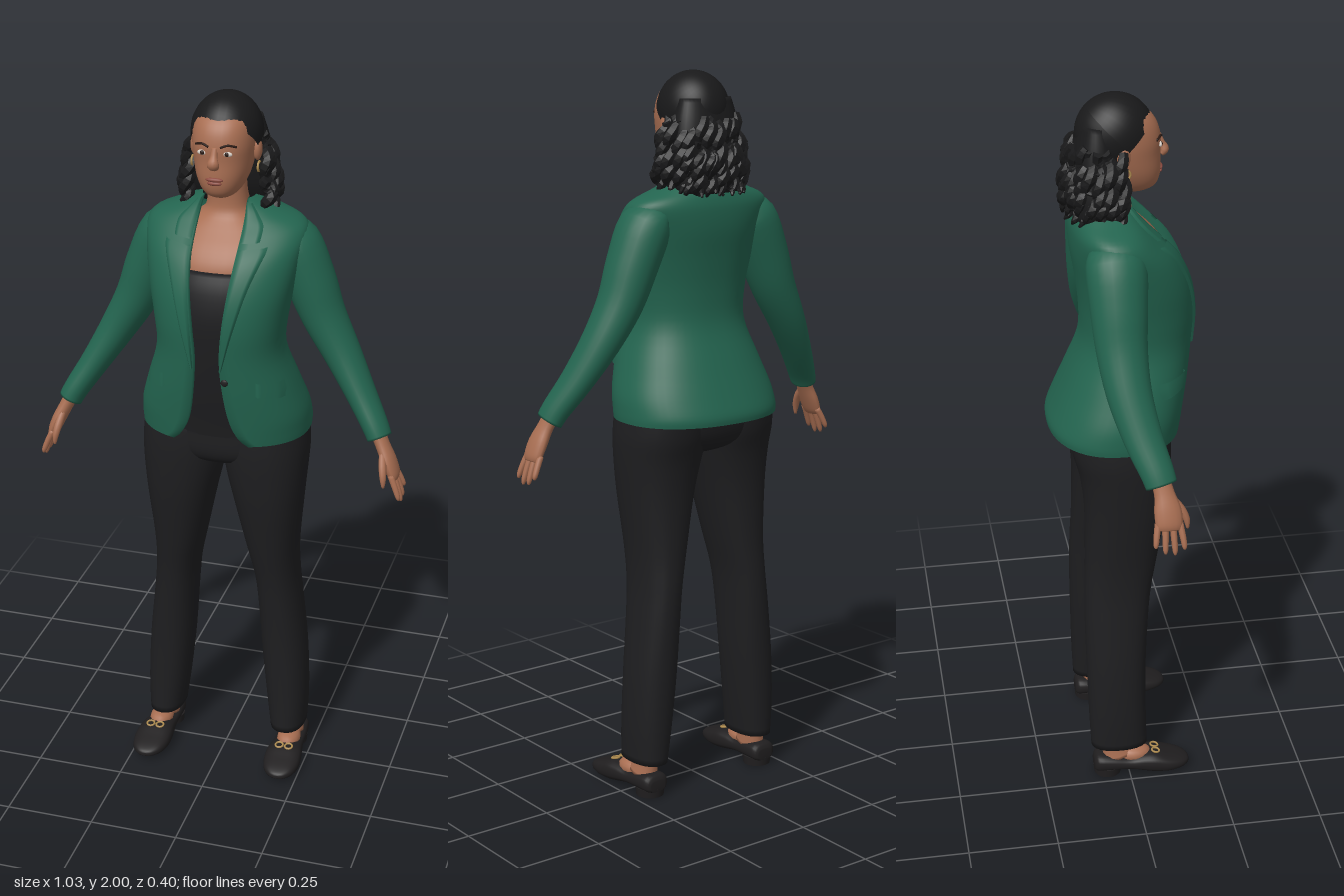
import * as THREE from 'three';

const mat = (name, color, side = THREE.FrontSide) => {
  const m = new THREE.MeshStandardMaterial({ color, side });
  m.name = name;
  return m;
};
const V = (x, y, z) => new THREE.Vector3(x, y, z);
const pw = (v, e) => Math.sign(v) * Math.pow(Math.abs(v), e);

// Smoothly subdivides rows of numbers (Catmull-Rom on every column)
function smooth(rows, n = 4) {
  const out = [], at = i => rows[Math.max(0, Math.min(rows.length - 1, i))];
  for (let i = 0; i < rows.length - 1; i++) for (let k = 0; k < n; k++) {
    const t = k / n, [a, b, c, d] = [at(i - 1), at(i), at(i + 1), at(i + 2)];
    out.push(b.map((p, j) => p + 0.5 * t * (c[j] - a[j] + t * (2 * a[j] - 5 * p + 4 * c[j] - d[j]
      + t * (3 * (p - c[j]) + d[j] - a[j])))));
  }
  out.push(at(rows.length - 1));
  return out;
}

// Skins a list of rings; closed skins get end caps and face outward
function loft(rings, closed = true, flat = false) {
  const n = rings[0].length, pts = rings.flat(), idx = [];
  const cols = closed ? n : n - 1;
  for (let i = 0; i < rings.length - 1; i++) for (let j = 0; j < cols; j++) {
    const a = i * n + j, b = i * n + (j + 1) % n, c = a + n, d = b + n;
    idx.push(a, b, d, a, d, c);
  }
  if (closed) {
    [0, rings.length - 1].forEach(r => {
      const mid = rings[r].reduce((s, p) => s.add(p), V(0, 0, 0)).divideScalar(n);
      const m = pts.push(mid) - 1;
      for (let j = 0; j < n; j++) {
        const a = r * n + j, b = r * n + (j + 1) % n;
        r ? idx.push(m, a, b) : idx.push(m, b, a);
      }
    });
    let vol = 0;
    for (let i = 0; i < idx.length; i += 3)
      vol += pts[idx[i]].dot(V(0, 0, 0).crossVectors(pts[idx[i + 1]], pts[idx[i + 2]]));
    if (vol < 0) idx.reverse();
  }
  let g = new THREE.BufferGeometry().setFromPoints(pts);
  g.setIndex(idx);
  if (flat) g = g.toNonIndexed();
  g.computeVertexNormals();
  return g;
}

// Horizontal rounded rings from rows [y, rx, zFront, zBack, cx]
const E = 0.88;
const body = (rows, n = 36) => loft(smooth(rows).map(([y, rx, zf, zb, cx = 0]) =>
  Array.from({ length: n }, (_, i) => {
    const t = i / n * Math.PI * 2;
    return V(cx + rx * pw(Math.sin(t), E), y, (zf + zb) / 2 + (zf - zb) / 2 * pw(Math.cos(t), E));
  })));

// Height of a front surface at x, y
function frontZ(rows, x, y) {
  const d = smooth(rows, 8);
  let i = d.findIndex((r, k) => k && (r[0] - y) * (d[k - 1][0] - y) <= 0);
  if (i < 1) i = d.length - 1;
  const a = d[i - 1], b = d[i], t = (y - a[0]) / (b[0] - a[0]);
  const [rx, zf, zb] = [1, 2, 3].map(k => a[k] + (b[k] - a[k]) * t);
  const s = Math.pow(Math.min(1, Math.abs(x) / rx), 1 / E);
  return (zf + zb) / 2 + (zf - zb) / 2 * Math.pow(1 - s * s, E / 2);
}

// Tapered limb along rows [x, y, z, rSide, rDepth]
function limb(rows, side = 1, n = 14, steps = 4, flat = false) {
  const r = smooth(rows, steps), p = r.map(q => V(q[0] * side, q[1], q[2]));
  return loft(r.map((q, i) => {
    const t = p[Math.min(i + 1, p.length - 1)].clone().sub(p[Math.max(i - 1, 0)]).normalize();
    const w = V(0, 0, 1).addScaledVector(t, -t.z).normalize(), u = V(0, 0, 0).crossVectors(w, t);
    return Array.from({ length: n }, (_, k) => {
      const a = k / n * Math.PI * 2;
      return p[i].clone().addScaledVector(u, q[3] * Math.cos(a)).addScaledVector(w, q[4] * Math.sin(a));
    });
  }), true, flat);
}

const JACKET = [ // y, rx, zFront, zBack, half opening
  [1.065, .234, .163, -.198, .105], [1.09, .235, .167, -.198, .08], [1.14, .23, .174, -.178, .058],
  [1.22, .205, .186, -.145, .044], [1.32, .174, .196, -.108, .036], [1.41, .18, .2, -.105, .042],
  [1.5, .197, .185, -.115, .052], [1.58, .212, .148, -.128, .061], [1.635, .22, .096, -.13, .064],
  [1.665, .2, .066, -.125, .064], [1.69, .14, .046, -.115, .063], [1.72, .072, .03, -.1, .06]];
const HEAD = [
  [1.738, .026, .075, .0], [1.75, .044, .097, -.03], [1.77, .058, .108, -.05], [1.8, .07, .112, -.07],
  [1.84, .078, .111, -.085], [1.88, .082, .112, -.09], [1.92, .08, .102, -.09], [1.95, .07, .08, -.08],
  [1.975, .04, .045, -.05]];

export function createModel() {
  const root = new THREE.Group();
  root.name = 'standingWoman';
  const skin = mat('skin', 0xa86e52), green = mat('jacketGreen', 0x23644f, THREE.DoubleSide);
  const cloth = mat('blackCloth', 0x1e1e20), hairM = mat('hairBlack', 0x19191a), shoeM = mat('shoeLeather', 0x201e1f);
  const gold = mat('gold', 0xb08d50), white = mat('eyeWhite', 0xd8cfc6), dark = mat('darkBrown', 0x2a1a14);
  const lip = mat('lips', 0x8c4b40);
  const add = (name, geo, m) => {
    const o = new THREE.Mesh(geo, m);
    o.name = name;
    root.add(o);
    return o;
  };
  const blob = (name, m, x, y, z, a, b, c) => {
    const o = add(name, new THREE.SphereGeometry(1, 14, 10), m);
    o.position.set(x, y, z);
    o.scale.set(a, b, c);
    return o;
  };

  // Head, neck and chest
  add('head', body(HEAD), skin);
  add('neckAndChest', body([[1.48, .14, .14, -.08], [1.55, .15, .138, -.09], [1.6, .15, .112, -.095],
    [1.645, .12, .07, -.095], [1.68, .066, .04, -.08], [1.72, .054, .034, -.07], [1.79, .052, .04, -.065]]), skin);
  add('nose', limb([[0, 1.883, .108, .008, .006], [0, 1.86, .115, .01, .009], [0, 1.842, .122, .016, .013],
    [0, 1.83, .114, .013, .008]]), skin);
  blob('upperLip', lip, 0, 1.798, .111, .024, .006, .007);
  blob('lowerLip', lip, 0, 1.788, .11, .02, .006, .007);
  for (const s of [1, -1]) {
    const z = frontZ(HEAD, .033, 1.868);
    blob('eye', white, s * .033, 1.868, z - .001, .014, .007, .005);
    blob('iris', dark, s * .033, 1.868, z + .002, .006, .006, .004);
    add('eyebrow', limb([.016, .034, .054].map((x, i) =>
      [x, 1.885 + [0, .006, 0][i], frontZ(HEAD, x, 1.888) + .001, .003, .004]), s, 8), dark);
    blob('ear', skin, s * .085, 1.855, .002, .012, .03, .018);
    const ring = add('earring', new THREE.TorusGeometry(.013, .003, 6, 16), gold);
    ring.position.set(s * .09, 1.81, .006);
    ring.rotation.y = Math.PI / 2;
  }

  // Hair: smooth cap, back mass and curly locks
  const cap = new THREE.SphereGeometry(1, 32, 20, 0, Math.PI * 2, 0, Math.PI * .61);
  cap.rotateX(-.8);
  cap.scale(.095, .105, .105);
  cap.translate(0, 1.895, -.008);
  cap.computeVertexNormals();
  hairM.side = THREE.DoubleSide;
  add('hairCap', cap, hairM);
  add('hairMass', body([[1.93, .08, -.02, -.1], [1.87, .098, -.005, -.117], [1.8, .11, -.005, -.128],
    [1.74, .118, -.015, -.132], [1.69, .108, -.04, -.128], [1.675, .08, -.06, -.11]]), hairM);
  let seed = 7;
  const rnd = () => (seed = (seed * 16807) % 2147483647) / 2147483647;
  for (let layer = 0; layer < 3; layer++) for (let i = 0; i < 15; i++) {
    const a = (i / 14 - .5) * 3.75 + (rnd() - .5) * .15, top = 1.885 - layer * .045 - rnd() * .02;
    const len = Math.min(.14 + rnd() * .03, top - 1.675), ph = rnd() * 6.3, rows = [];
    for (let k = 0; k <= 8; k++) {
      const t = k / 8, y = top - len * t, g = 1 + .28 * Math.min(1, (1.89 - y) / .13);
      const w = ph + t * 11, r = (.009 + .009 * Math.sin(Math.PI * Math.min(1, t + .15))) * (k === 8 ? .4 : 1);
      rows.push([Math.sin(a) * .093 * g + .01 * Math.cos(w), y, -.038 - Math.cos(a) * .078 * g + .009 * Math.sin(w), r, r]);
    }
    add('curlyLock', limb(rows, 1, 6, 2, true), hairM);
  }

  // Tank top
  add('tankTop', body([[1.05, .2, .122, -.13], [1.12, .2, .135, -.14], [1.2, .18, .152, -.11], [1.32, .145, .17, -.08],
    [1.42, .15, .178, -.08], [1.5, .155, .167, -.085], [1.552, .14, .148, -.08]]), cloth);

  // Jacket shell with an open front and turned-in edges
  add('jacket', loft(smooth(JACKET).map(([y, rx, zf, zb, open]) => {
    const t0 = Math.asin(Math.pow(open / rx, 1 / E)), N = 48, ring = [];
    for (let i = 0; i <= N; i++) {
      const t = t0 + (Math.PI * 2 - 2 * t0) * i / N;
      ring.push(V(rx * pw(Math.sin(t), E), y, (zf + zb) / 2 + (zf - zb) / 2 * pw(Math.cos(t), E)));
    }
    const fold = p => V(p.x, p.y, p.z - .022);
    return [fold(ring[0]), ...ring, fold(ring[N])];
  }), false), green);

  // Panels lying on the jacket front, rows [y inner, x inner, y outer, x outer]
  const panel = (name, rows, s) => add(name, loft(smooth(rows, 5).map(([y0, x0, y1, x1]) =>
    Array.from({ length: 9 }, (_, i) => {
      const u = i / 8, x = x0 + (x1 - x0) * u, y = y0 + (y1 - y0) * u;
      return V(x * s, y, frontZ(JACKET, x, y) + (i % 8 ? .007 : -.003));
    })), false), green);
  for (const s of [1, -1]) {
    panel('lapel', [[1.3, .037, 1.3, .042], [1.4, .041, 1.42, .075], [1.5, .052, 1.53, .108], [1.58, .061, 1.605, .138],
      [1.615, .063, 1.622, .14]], s);
    panel('collar', [[1.628, .064, 1.632, .118], [1.66, .064, 1.664, .118], [1.69, .063, 1.685, .1], [1.715, .061, 1.71, .075]], s);
    panel('pocketFlap', [[1.222, .125, 1.205, .195], [1.24, .125, 1.225, .195], [1.262, .125, 1.25, .19]], s);

    // Sleeve
    add('sleeve', limb([[.14, 1.635, -.035, .03, .06], [.178, 1.6, -.033, .066, .08], [.222, 1.5, -.033, .068, .076],
      [.262, 1.4, -.032, .06, .068], [.318, 1.3, -.022, .05, .06], [.378, 1.2, .004, .04, .052],
      [.425, 1.125, .032, .035, .045], [.442, 1.092, .042, .033, .042]], s, 24), green);

    // Hand
    add('palm', limb([[.43, 1.12, .036, .02, .026], [.452, 1.075, .047, .019, .027], [.472, 1.035, .053, .019, .036],
      [.487, 1.0, .055, .016, .036], [.492, .985, .055, .01, .03]], s), skin);
    for (let f = 0; f < 4; f++) {
      const z = .083 - f * .019, d = (f - 1.5) * -.006, l = [.065, .078, .074, .056][f], x = .487 - Math.abs(f - 1.3) * .002;
      add('finger', limb([[x, 1.002, z, .009, .009], [x + .014, 1 - l * .45, z + d * .6, .0085, .0085],
        [x + .024, 1 - l * .85, z + d, .007, .007], [x + .026, 1 - l, z + d, .003, .003]], s, 8, 3), skin);
    }
    add('thumb', limb([[.457, 1.06, .065, .01, .012], [.463, 1.03, .09, .011, .011], [.468, 1.0, .104, .009, .009],
      [.47, .975, .107, .004, .004]], s, 8, 3), skin);

    // Trouser leg, rows written as outer and inner edge
    add('trouserLeg', body([[.095, .236, .136, .055, -.108], [.2, .24, .122, .052, -.113], [.35, .234, .106, .052, -.117],
      [.5, .218, .096, .06, -.12], [.6, .208, .086, .07, -.119], [.7, .208, .064, .088, -.115], [.85, .222, .03, .114, -.114],
      [.95, .231, .006, .124, -.124], [1.02, .234, -.005, .127, -.142], [1.08, .228, 0, .125, -.15]]
      .map(([y, o, i, zf, zb]) => [y, (o - i) / 2, zf, zb, s * (o + i) / 2]), 24), cloth);

    // Foot and slip-on shoe
    add('ankle', limb([[.19, .16, -.04, .032, .036], [.19, .1, -.04, .031, .036], [.193, .055, -.03, .036, .05]], s), skin);
    blob('instep', skin, s * .197, .058, .015, .034, .026, .05);
    const shoe = [[-.102, .024, .018, .05], [-.09, .038, .014, .066], [-.05, .042, .016, .064], [0, .042, .016, .056],
      [.04, .047, .008, .064], [.075, .052, .003, .066], [.115, .052, .004, .054], [.15, .042, .01, .043],
      [.17, .024, .014, .034], [.176, .008, .018, .027]];
    add('shoe', loft(smooth(shoe).map(([z, w, lo, hi]) => Array.from({ length: 24 }, (_, i) => {
      const a = i / 24 * Math.PI * 2;
      return V(s * (.193 + (z + .1) * .03) + w * pw(Math.cos(a), .75), (lo + hi) / 2 + (hi - lo) / 2 * pw(Math.sin(a), .75), z);
    }))), shoeM);
    const heel = add('heel', new THREE.CylinderGeometry(.041, .039, .024, 20), shoeM);
    heel.position.set(s * .193, .012, -.062);
    for (const dx of [-.014, .014]) {
      const link = add('shoeBuckle', new THREE.TorusGeometry(.011, .003, 6, 14), gold);
      link.position.set(s * .198 + dx, .067, .077);
      link.rotation.x = -1.4;
    }
  }

  // Hips joining both legs
  add('hips', body([[.965, .06, .06, -.07], [.985, .15, .105, -.115], [1.02, .215, .124, -.14],
    [1.08, .222, .126, -.15], [1.14, .205, .13, -.14]]), cloth);
  blob('jacketButton', shoeM, .05, 1.265, frontZ(JACKET, .05, 1.265) + .002, .01, .01, .004);
  return root;
}
